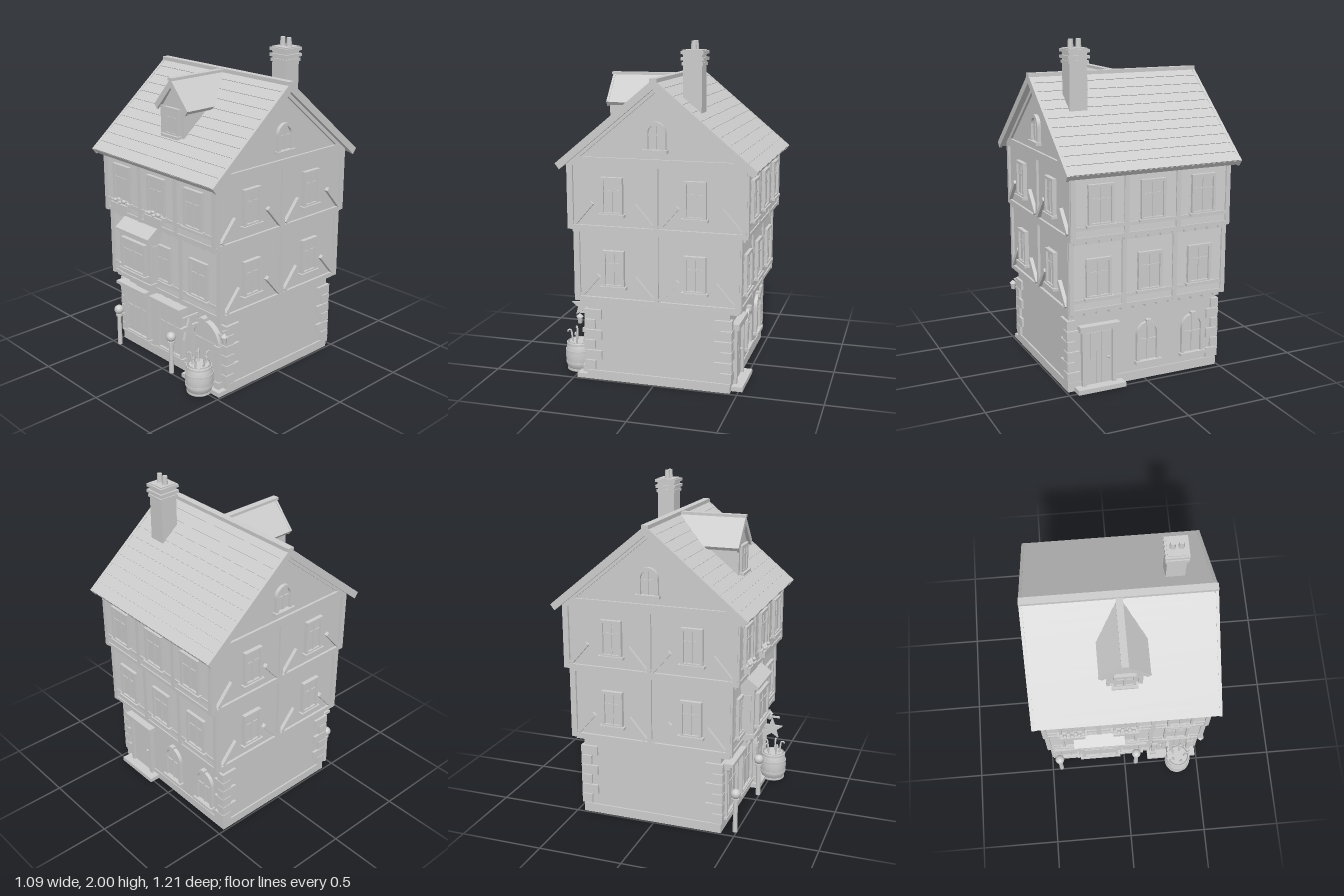
import * as THREE from 'three';

const grey = new THREE.MeshStandardMaterial({ color: 0xcccccc });
grey.name = 'plain grey';

function add(parent, name, geo, x = 0, y = 0, z = 0) {
  const m = new THREE.Mesh(geo, grey);
  m.name = name;
  m.position.set(x, y, z);
  parent.add(m);
  return m;
}
const box = (p, name, w, h, d, x, y, z) => add(p, name, new THREE.BoxGeometry(w, h, d), x, y, z);
const cyl = (p, name, r1, r2, h, x, y, z, n = 16) => add(p, name, new THREE.CylinderGeometry(r1, r2, h, n), x, y, z);
const extrude = (shape, depth) => new THREE.ExtrudeGeometry(shape, { depth, bevelEnabled: false, curveSegments: 16 });
const poly = pts => new THREE.Shape(pts.map(p => new THREE.Vector2(...p)));

function group(parent, name, x = 0, y = 0, z = 0, ry = 0) {
  const g = new THREE.Group();
  g.name = name;
  g.position.set(x, y, z);
  g.rotation.y = ry;
  parent.add(g);
  return g;
}

// Inverted V section for a pitched roof
const chevron = (hw, top, eave, t) => {
  const s = (top - eave) / hw, v = t * Math.hypot(1, s), k = t * 0.6;
  return poly([[0, top], [-hw, eave], [-hw + k, eave - v + s * k], [0, top - v], [hw - k, eave - v + s * k], [hw, eave]]);
};

// Round-headed outline standing on y = 0
function arch(w, h, C = THREE.Shape) {
  const r = w / 2, s = new C();
  s.moveTo(-r, 0);
  s.lineTo(r, 0);
  s.lineTo(r, h - r);
  s.absarc(0, h - r, r, 0, Math.PI, false);
  s.lineTo(-r, 0);
  return s;
}
function archFrame(p, name, w, h, t, d) {
  const s = arch(w, h);
  s.holes.push(arch(w - 2 * t, h - t, THREE.Path));
  return add(p, name, extrude(s, d));
}

// Framed sash window centred on x, standing on y
function windowAt(p, x, y, w, h, cols = 2, out = 0.026, sill = true) {
  const g = group(p, 'window', x, y, 0), t = 0.017;
  box(g, 'glass', w - t, h - t, 0.008, 0, h / 2, 0.009);
  for (const s of [-1, 1]) {
    box(g, 'jamb', t, h, out, s * (w - t) / 2, h / 2, out / 2);
    box(g, 'rail', w - 2 * t, t, out, 0, h / 2 + s * (h - t) / 2, out / 2);
  }
  for (let i = 1; i < cols; i++) box(g, 'mullion', 0.012, h - t, 0.019, -w / 2 + w * i / cols, h / 2, 0.0095);
  box(g, 'transom', w - t, 0.01, 0.018, 0, h * 0.64, 0.009);
  if (sill) box(g, 'sill', w + 0.025, 0.016, 0.036, 0, 0, 0.018);
  return g;
}
function archWindow(p, x, y, w, h, keystone) {
  const g = group(p, 'archedWindow', x, y, 0);
  add(g, 'glass', extrude(arch(w - 0.02, h - 0.01), 0.006));
  archFrame(g, 'archFrame', w, h, 0.02, 0.022);
  box(g, 'mullion', 0.01, h - 0.02, 0.014, 0, h / 2, 0.007);
  box(g, 'transom', w - 0.02, 0.01, 0.013, 0, h * 0.55, 0.0065);
  box(g, 'sill', w + 0.02, 0.018, 0.034, 0, 0, 0.017);
  if (keystone) box(g, 'keystone', 0.03, 0.035, 0.03, 0, h - 0.004, 0.015);
}

// Four wall frames: local x along the wall, local z outwards
const walls = (p, hx, hz) => [
  group(p, 'frontWall', 0, 0, hz), group(p, 'backWall', 0, 0, -hz, Math.PI),
  group(p, 'leftWall', hx, 0, 0, Math.PI / 2), group(p, 'rightWall', -hx, 0, 0, -Math.PI / 2)];

function upperFloor(p, y0, y1, hz, winY, sideX) {
  const hx = 0.49, h = y1 - y0, [front, back, left, right] = walls(p, hx, hz);
  box(p, 'floorBlock', 2 * hx, h, 2 * hz, 0, y0 + h / 2, 0);
  for (const f of [front, back]) {
    for (let i = 0; i < 6; i++) {
      const b = box(f, 'clapboard', 0.98, h / 6, 0.008, 0, y0 + h * (i + 0.5) / 6, 0.002);
      b.rotation.x = -0.08;
    }
    for (const x of [-0.488, -0.163, 0.163, 0.488]) box(f, 'post', 0.028, h, 0.016, x, y0 + h / 2, 0.008);
    for (const y of [y0 + 0.014, y0 + 0.075, y1 - 0.014]) box(f, 'beam', 1.0, 0.022, 0.014, 0, y, 0.007);
    for (const x of [-0.323, 0, 0.323]) windowAt(f, x, winY, 0.155, 0.235);
    for (let i = 0; i < 13; i++) box(f, 'joistEnd', 0.035, 0.022, 0.06, -0.46 + i * 0.0767, y0 - 0.01, -0.035);
  }
  for (const [f, s] of [[left, -1], [right, 1]]) {
    for (const x of [-hz + 0.008, 0, hz - 0.008]) box(f, 'post', 0.026, h, 0.015, x, y0 + h / 2, 0.0075);
    for (const y of [y0 + 0.014, y1 - 0.0]) box(f, 'beam', 2 * hz + 0.02, 0.028, 0.015, 0, y, 0.0075);
    windowAt(f, s * sideX, winY + 0.01, 0.13, 0.22);
    windowAt(f, -s * 0.23, winY + 0.01, 0.13, 0.22);
    for (const [x, t] of [[-hz + 0.085, 1], [-0.075, -1], [0.075, 1], [hz - 0.085, -1]]) {
      const b = box(f, 'brace', 0.165, 0.024, 0.022, x, y0 + 0.1, 0.011);
      b.rotation.z = t * 0.86;
    }
  }
  return front;
}

export function createModel() {
  const model = new THREE.Group();
  model.name = 'townHouse';
  const p = group(model, 'house', 0, 0, -0.02);

  // Ground floor, plinth and corner stones
  box(p, 'groundFloor', 0.96, 0.49, 0.86, 0, 0.245, 0);
  box(p, 'plinth', 0.98, 0.055, 0.874, 0, 0.0275, 0);
  for (const sx of [-1, 1]) for (const sz of [-1, 1]) for (let i = 0; i < 6; i++) {
    const a = i % 2 ? 0.105 : 0.065, b = i % 2 ? 0.065 : 0.105;
    box(p, 'cornerStone', b * 0.75, 0.058, a, sx * (0.496 - b * 0.375), 0.09 + i * 0.0635, sz * (0.446 - a / 2));
  }
  const [gf, gb] = walls(p, 0.48, 0.43);

  // Shop windows with cornices
  for (const x of [-0.327, 0]) {
    windowAt(gf, x, 0.08, 0.235, 0.3, 3, 0.03);
    box(gf, 'shopCornice', 0.285, 0.02, 0.07, x, 0.425, 0.035);
    box(gf, 'shopCorniceLower', 0.27, 0.02, 0.05, x, 0.405, 0.025);
    box(gf, 'shopFascia', 0.25, 0.025, 0.03, x, 0.383, 0.015);
  }

  // Arched front door
  const door = group(gf, 'frontDoor', 0.32, 0.02, 0);
  archFrame(door, 'doorArch', 0.265, 0.405, 0.027, 0.035);
  add(door, 'doorLeaf', extrude(arch(0.215, 0.38), 0.009));
  for (let i = -2; i <= 2; i++) box(door, 'doorPlank', 0.036, 0.27, 0.006, i * 0.039, 0.135, 0.011);
  add(door, 'doorKnob', new THREE.SphereGeometry(0.009, 10, 8), -0.07, 0.17, 0.02);
  box(door, 'keystone', 0.04, 0.045, 0.048, 0, 0.4, 0.024);
  for (const s of [-1, 1]) {
    box(door, 'archImpost', 0.04, 0.024, 0.045, s * 0.119, 0.27, 0.022);
    box(door, 'archFoot', 0.04, 0.05, 0.045, s * 0.119, 0.025, 0.022);
  }
  box(gf, 'frontStep', 0.33, 0.028, 0.07, 0.325, 0.014, 0.035);

  // Back door and round-headed windows
  const bd = group(gb, 'backDoor', -0.3, 0.025, 0);
  box(bd, 'doorLeaf', 0.17, 0.33, 0.009, 0, 0.165, 0.005);
  for (let i = -2; i <= 2; i++) box(bd, 'doorPlank', 0.031, 0.32, 0.006, i * 0.033, 0.16, 0.011);
  for (const s of [-1, 1]) box(bd, 'doorJamb', 0.024, 0.345, 0.03, s * 0.095, 0.172, 0.015);
  box(bd, 'lintel', 0.25, 0.035, 0.045, 0, 0.355, 0.022);
  add(bd, 'doorKnob', new THREE.SphereGeometry(0.009, 10, 8), 0.06, 0.16, 0.02);
  box(gb, 'backStep', 0.3, 0.028, 0.075, -0.3, 0.014, 0.035);
  for (const x of [0.02, 0.32]) archWindow(gb, x, 0.11, 0.15, 0.25, true);

  // Timbered storeys
  const mid = upperFloor(p, 0.49, 0.92, 0.485, 0.575, 0.255);
  const top = upperFloor(p, 0.92, 1.31, 0.52, 1.005, 0.26);

  // Bay window with sloping hood
  const bay = group(mid, 'bayWindow', -0.165, 0, 0);
  box(bay, 'bayBody', 0.27, 0.3, 0.085, 0, 0.71, 0.0425);
  box(bay, 'bayBase', 0.29, 0.025, 0.095, 0, 0.555, 0.0475);
  box(bay, 'corbel', 0.2, 0.035, 0.06, 0, 0.525, 0.03);
  box(bay, 'corbelFoot', 0.15, 0.025, 0.035, 0, 0.49, 0.012);
  windowAt(group(bay, 'bayFront', 0, 0, 0.085), 0, 0.61, 0.225, 0.205, 2);
  for (const s of [-1, 1]) {
    box(bay, 'baySideGlass', 0.008, 0.19, 0.045, s * 0.137, 0.71, 0.045);
  }
  const hood = poly([[0, 0.85], [-0.115, 0.85], [-0.115, 0.865], [-0.045, 0.915], [0, 0.915]]);
  add(bay, 'bayHood', extrude(hood, 0.31), -0.155).rotation.y = Math.PI / 2;

  // Flower boxes
  for (const x of [-0.323, 0]) {
    const fb = group(top, 'flowerBox', x, 0.985, 0.032);
    box(fb, 'planter', 0.155, 0.038, 0.035, 0, 0, 0);
    for (let i = 0; i < 7; i++) add(fb, 'flower', new THREE.IcosahedronGeometry(0.012, 1), -0.065 + i * 0.0217, 0.026 + (i % 3) * 0.006, (i % 2) * 0.012 - 0.006);
  }

  // Gables with rafters and round-headed attic windows
  const gable = poly([[-0.52, 1.3], [0.52, 1.3], [0, 1.75]]);
  for (const f of walls(p, 0.49, 0).slice(2)) {
    add(f, 'gable', extrude(gable, 0.02), 0, 0, -0.02);
    add(f, 'gableRafters', extrude(chevron(0.53, 1.75, 1.31, 0.022), 0.014));
    box(f, 'gableBeam', 1.04, 0.024, 0.015, 0, 1.335, 0.0075);
    archWindow(f, 0, 1.395, 0.125, 0.165, false);
  }

  // Main roof with overlapping courses, bargeboards and ridge
  const alongX = (geo, name, x) => { add(p, name, geo, x).rotation.y = Math.PI / 2; };
  alongX(extrude(chevron(0.585, 1.787, 1.305, 0.03), 1.06), 'roof', -0.53);
  for (const x of [-0.542, 0.524]) alongX(extrude(chevron(0.59, 1.797, 1.308, 0.042), 0.018), 'bargeboard', x);
  const tilt = Math.atan2(0.482, 0.585), len = 0.758, step = len / 11;
  for (const s of [-1, 1]) for (let i = 0; i < 11; i++) {
    const d = (i + 0.5) * step;
    const c = box(p, 'roofCourse', 1.05, 0.006, step, 0, 1.789 - d * Math.sin(tilt), s * d * Math.cos(tilt));
    c.rotation.x = s * (tilt - 0.05);
  }
  box(p, 'ridge', 1.085, 0.022, 0.042, 0, 1.789, 0);

  // Dormer
  const dormer = group(p, 'dormer');
  add(dormer, 'dormerBody', extrude(poly([[-0.1, 1.44], [0.1, 1.44], [0.1, 1.62], [0, 1.75], [-0.1, 1.62]]), 0.365), 0, 0, 0.03);
  add(dormer, 'dormerRoof', extrude(chevron(0.143, 1.787, 1.625, 0.022), 0.385), 0, 0, 0.025);
  add(dormer, 'dormerBargeboard', extrude(chevron(0.145, 1.792, 1.627, 0.034), 0.014), 0, 0, 0.402);
  box(dormer, 'dormerRidge', 0.04, 0.016, 0.395, 0, 1.79, 0.222);
  for (const s of [-1, 1]) box(dormer, 'dormerPost', 0.024, 0.17, 0.012, s * 0.09, 1.54, 0.4);
  windowAt(group(dormer, 'dormerFront', 0, 0, 0.395), 0, 1.46, 0.125, 0.165, 2, 0.02);

  // Chimney
  const ch = group(p, 'chimney', 0.325, 0, -0.18);
  box(ch, 'stack', 0.108, 0.4, 0.108, 0, 1.74, 0);
  for (const [w, y] of [[0.132, 1.9], [0.122, 1.872], [0.132, 1.935]]) box(ch, 'chimneyBand', w, 0.018, w, 0, y, 0);
  box(ch, 'chimneyTop', 0.112, 0.03, 0.112, 0, 1.935, 0);
  for (const x of [-0.024, 0.024]) cyl(ch, 'chimneyPot', 0.014, 0.018, 0.06, x, 1.97, 0);

  // Street posts
  for (const x of [-0.44, 0.077]) {
    const post = group(model, 'streetPost', x, 0, 0.49);
    cyl(post, 'postShaft', 0.013, 0.015, 0.22, 0, 0.11, 0);
    cyl(post, 'postCollar', 0.02, 0.02, 0.014, 0, 0.205, 0);
    add(post, 'postBall', new THREE.SphereGeometry(0.03, 18, 12), 0, 0.243, 0);
  }

  // Barrel holding canes
  const barrel = group(model, 'barrel', 0.36, 0.005, 0.515);
  const profile = [[0, 0], [0.07, 0], [0.08, 0.045], [0.085, 0.09], [0.08, 0.135], [0.07, 0.18], [0.062, 0.18], [0.064, 0.15], [0, 0.15]];
  add(barrel, 'barrelBody', new THREE.LatheGeometry(profile.map(q => new THREE.Vector2(...q)), 24));
  for (const [r, y] of [[0.073, 0.012], [0.081, 0.055], [0.081, 0.125], [0.073, 0.168]]) cyl(barrel, 'hoop', r + 0.003, r + 0.003, 0.013, 0, y, 0, 24).scale.y = y > 0.15 ? 0.9 : 1;
  for (let i = 0; i < 5; i++) {
    const a = i * 1.257, cane = group(barrel, 'cane', Math.cos(a) * 0.035, 0.14, Math.sin(a) * 0.035, -a);
    cane.rotation.z = -0.12;
    cyl(cane, 'caneShaft', 0.006, 0.006, 0.1, 0, 0.05, 0, 8);
    add(cane, 'caneHandle', new THREE.TorusGeometry(0.011, 0.005, 6, 10, Math.PI), 0.011, 0.1, 0);
  }

  // Hanging star sign
  const sign = group(model, 'starSign', 0.28, 0.38, 0.52);
  const star = poly(Array.from({ length: 10 }, (_, i) => {
    const r = i % 2 ? 0.03 : 0.072, a = Math.PI / 2 + i * Math.PI / 5;
    return [r * Math.cos(a), r * Math.sin(a)];
  }));
  add(sign, 'star', extrude(star, 0.016), -0.008).rotation.y = Math.PI / 2;
  box(sign, 'signBar', 0.012, 0.01, 0.17, 0, 0.08, -0.035);
  const strut = box(sign, 'signStrut', 0.01, 0.008, 0.09, 0, 0.05, -0.09);
  strut.rotation.x = -0.7;

  // Wall lantern at the front corner
  const lamp = group(model, 'wallLantern', 0.505, 0.37, 0.45);
  cyl(lamp, 'lanternBody', 0.018, 0.013, 0.04, 0, 0, 0, 6);
  cyl(lamp, 'lanternCap', 0.005, 0.023, 0.018, 0, 0.029, 0, 6);
  box(lamp, 'lanternBracket', 0.01, 0.01, 0.06, -0.012, 0.045, -0.025);
  return model;
}
